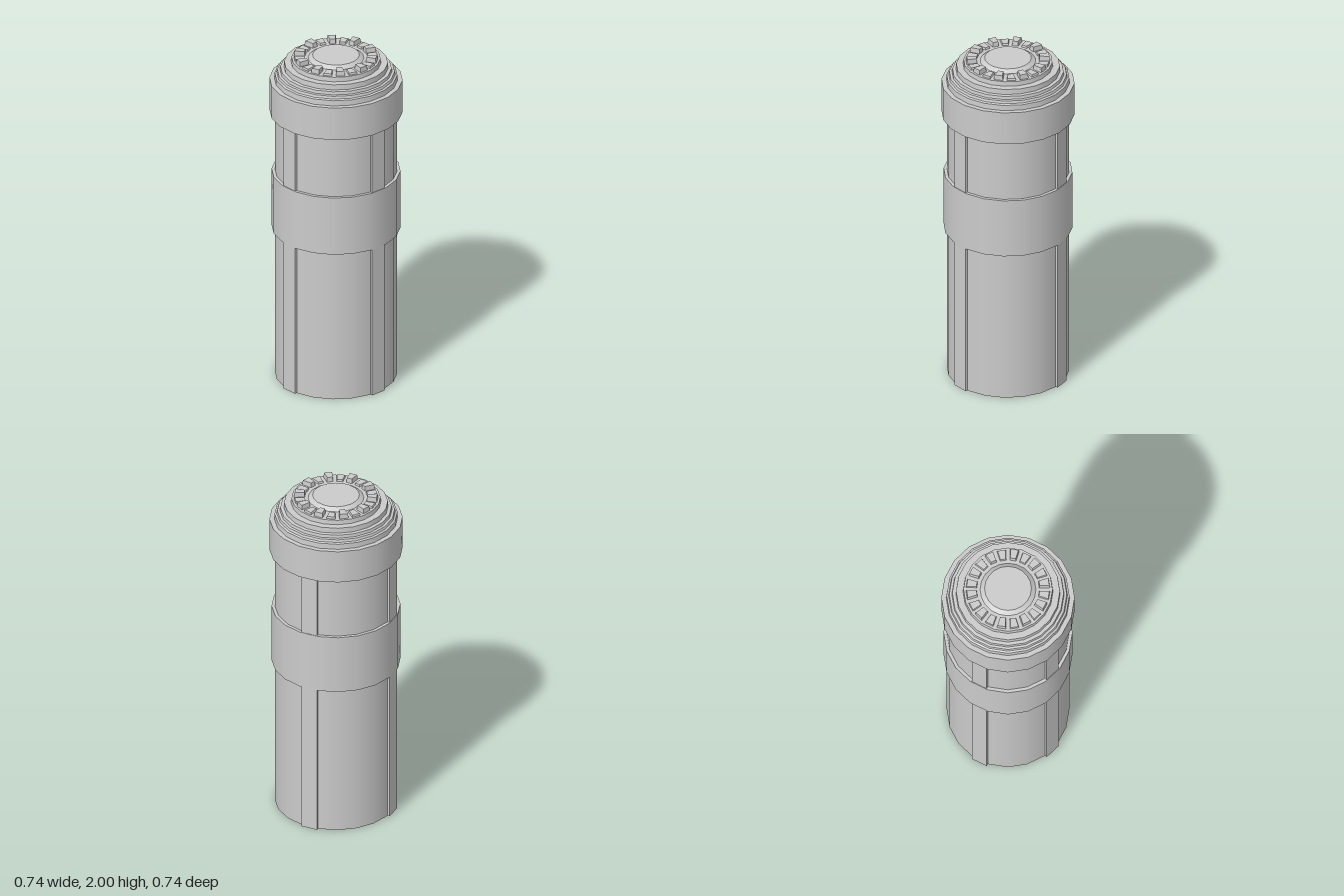
import * as THREE from 'three';
import { mergeGeometries } from 'three/addons/utils/BufferGeometryUtils.js';

const SIDES = 20;
const rad = THREE.MathUtils.degToRad;
const material = new THREE.MeshStandardMaterial({ color: 0xcccccc, side: THREE.DoubleSide });

// Turned part: smooth around, sharp between profile steps. Radii are measured to the flats.
function turned(name, profile) {
  const pts = profile.map(([r, y]) => new THREE.Vector2(r / Math.cos(Math.PI / SIDES), y));
  const bands = [];
  for (let i = 0; i < pts.length - 1; i++) {
    bands.push(new THREE.LatheGeometry([pts[i], pts[i + 1]], SIDES, Math.PI / SIDES));
  }
  const mesh = new THREE.Mesh(mergeGeometries(bands), material);
  mesh.name = name;
  return mesh;
}

// Wedge-shaped tooth with slightly drafted sides, pointing along +z
function toothGeometry(height) {
  const shape = new THREE.Shape([
    new THREE.Vector2(-0.015, -0.178), new THREE.Vector2(-0.023, -0.232),
    new THREE.Vector2(0.023, -0.232), new THREE.Vector2(0.015, -0.178),
  ]);
  const bevel = height - 0.001;
  const geo = new THREE.ExtrudeGeometry(shape, {
    depth: 0.001, bevelEnabled: true, bevelThickness: bevel, bevelSize: 0.003, bevelSegments: 1,
  });
  geo.rotateX(-Math.PI / 2);
  return geo;
}

export function createModel() {
  const model = new THREE.Group();
  model.name = 'canister';

  // Open-bottomed tube
  model.add(turned('bodyTube', [[0.34, 0], [0.34, 1.66]]));

  // Middle band
  model.add(turned('middleBand', [[0.34, 0.915], [0.358, 0.915], [0.358, 1.27], [0.34, 1.27]]));

  // Collar, stepped lid and raised centre disc
  model.add(turned('collar', [[0.34, 1.64], [0.37, 1.64], [0.37, 1.84], [0.343, 1.84]]));
  model.add(turned('steppedLid', [
    [0.343, 1.84], [0.341, 1.872], [0.33, 1.877], [0.326, 1.892], [0.312, 1.894],
    [0.309, 1.912], [0.29, 1.914], [0.288, 1.945], [0.25, 1.945], [0.247, 1.972], [0.155, 1.972],
  ]));
  model.add(turned('centreDisc', [[0.155, 1.972], [0.13, 1.99], [0, 1.99]]));

  // Lengthwise ribs, set through the tube wall
  const ribGeo = new THREE.BoxGeometry(0.094, 1.65, 0.025);
  ribGeo.translate(0, 0.825, 0.3425);
  for (const angle of [36, 144, 234, 306]) {
    const rib = new THREE.Mesh(ribGeo, material);
    rib.name = 'rib';
    rib.rotation.y = rad(angle);
    model.add(rib);
  }

  // Ring of teeth, alternately tall and short
  const teeth = new THREE.Group();
  teeth.name = 'toothRing';
  const tall = toothGeometry(0.028);
  const low = toothGeometry(0.012);
  for (let i = 0; i < SIDES; i++) {
    const tooth = new THREE.Mesh(i % 2 ? low : tall, material);
    tooth.name = i % 2 ? 'shortTooth' : 'tallTooth';
    tooth.position.y = 1.972;
    tooth.rotation.y = rad(i * 18) + Math.PI;
    teeth.add(tooth);
  }
  model.add(teeth);

  return model;
}
